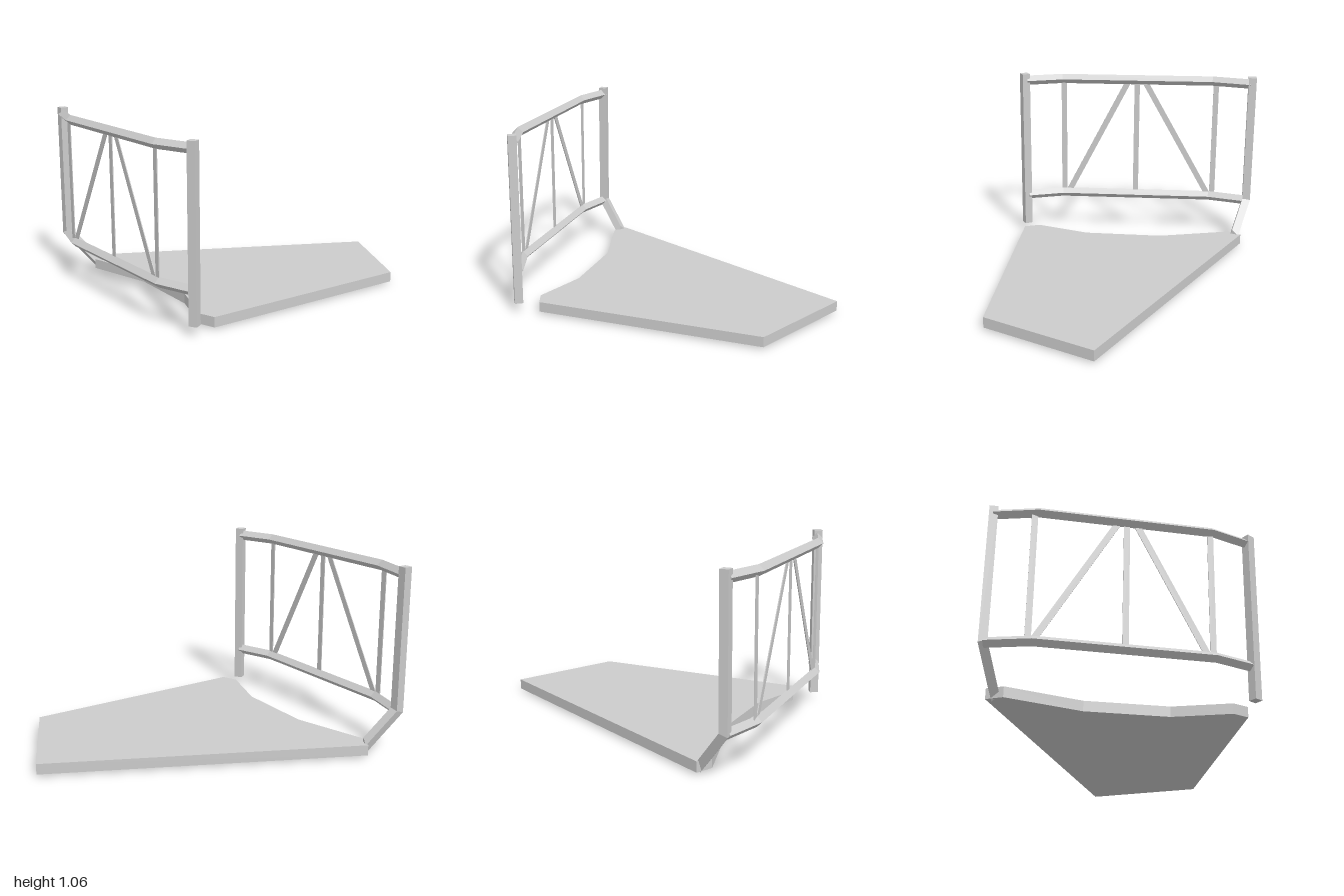
import * as THREE from 'three';

const material = new THREE.MeshStandardMaterial({ color: 0xcccccc, flatShading: true });

function part(name, geometry, parent) {
  const mesh = new THREE.Mesh(geometry, material);
  mesh.name = name;
  parent.add(mesh);
  return mesh;
}

// Joins rings of points (counter-clockwise about the travel direction) into a capped solid
function loft(rings) {
  const pos = [];
  const tri = (...pts) => pts.forEach((p) => pos.push(p.x, p.y, p.z));
  const n = rings[0].length;
  for (let i = 0; i < rings.length - 1; i++) {
    for (let j = 0; j < n; j++) {
      const k = (j + 1) % n;
      tri(rings[i][j], rings[i][k], rings[i + 1][k]);
      tri(rings[i][j], rings[i + 1][k], rings[i + 1][j]);
    }
  }
  const first = rings[0], last = rings[rings.length - 1];
  for (let j = 1; j < n - 1; j++) {
    tri(first[0], first[j + 1], first[j]);
    tri(last[0], last[j], last[j + 1]);
  }
  const g = new THREE.BufferGeometry();
  g.setAttribute('position', new THREE.Float32BufferAttribute(pos, 3));
  g.computeVertexNormals();
  return g;
}

// Plan of the bent railing, from the back post to the front post
const plan = [[-0.966, -0.633], [-0.92, -0.39], [-0.484, 0.465], [-0.318, 0.628]]
  .map(([x, z]) => new THREE.Vector3(x, 0, z));

// Diamond-section rail with mitred bends at height y
function rail(y, r = 0.03) {
  const up = new THREE.Vector3(0, 1, 0);
  const dirs = plan.slice(1).map((p, i) => p.clone().sub(plan[i]).normalize());
  return loft(plan.map((p, i) => {
    const a = dirs[Math.max(i - 1, 0)], b = dirs[Math.min(i, dirs.length - 1)];
    const t = a.clone().add(b).normalize();
    const side = up.clone().cross(t).multiplyScalar(r / t.dot(a));
    const c = p.clone().setY(y);
    return [
      c.clone().add(side), c.clone().addScaledVector(up, r),
      c.clone().sub(side), c.clone().addScaledVector(up, -r),
    ];
  }));
}

// Back post that bends at its foot to meet the corner of the slab
function bentPost() {
  const corners = [0, 1, 2, 3].map((i) => {
    const a = THREE.MathUtils.degToRad(19 + 90 * i);
    return [0.034 * Math.cos(a), 0.034 * Math.sin(a)];
  });
  const cx = -0.966, cz = -0.638, endX = -0.788, slope = 1.16;
  const ring = (f) => corners.map(([dx, dz]) => new THREE.Vector3(...f(dx, dz)));
  const bendY = (dx) => 0.255 + 0.36 * dx;
  return loft([
    ring((dx, dz) => [cx + dx, 1.06, cz + dz]),
    ring((dx, dz) => [cx + dx, bendY(dx), cz + dz]),
    ring((dx, dz) => [endX, bendY(dx) - slope * (endX - cx - dx), cz + dz]),
  ]);
}

// Flat strip with level ends, leaning from s0 at the bottom to s1 at the top
function strip(s0, s1, width) {
  const h = width / 2, y0 = 0.26, y1 = 1.01, t = 0.005;
  const shape = new THREE.Shape([[s0 - h, y0], [s0 + h, y0], [s1 + h, y1], [s1 - h, y1]]
    .map((p) => new THREE.Vector2(...p)));
  return new THREE.ExtrudeGeometry(shape, { depth: t, bevelEnabled: false }).translate(0, 0, -t / 2);
}

export function createModel() {
  const model = new THREE.Group();
  model.name = 'platformWithRailing';

  // Floor slab
  const outline = [[-0.8, -0.68], [1, -0.68], [1, 0], [-0.195, 0.577], [-0.267, 0.51],
    [-0.31, 0.176], [-0.51, -0.25], [-0.8, -0.58]];
  const slab = new THREE.ExtrudeGeometry(
    new THREE.Shape(outline.map(([x, z]) => new THREE.Vector2(x, -z))),
    { depth: 0.06, bevelEnabled: false });
  slab.rotateX(-Math.PI / 2).translate(0, 0.012, 0);
  part('floorSlab', slab, model);

  // Railing frame
  const railing = new THREE.Group();
  railing.name = 'railing';
  model.add(railing);
  part('topRail', rail(1.017), railing);
  part('bottomRail', rail(0.25), railing);
  part('backPost', bentPost(), railing);
  const post = part('frontPost', new THREE.BoxGeometry(0.049, 1.005, 0.049), railing);
  post.position.set(-0.312, 0.5575, 0.638);
  post.rotation.y = -0.56;

  // Struts in the plane of the long middle stretch, with local x running along the rail
  const [a, b] = [plan[1], plan[2]];
  const struts = new THREE.Group();
  struts.name = 'struts';
  struts.position.copy(a).lerp(b, 0.5);
  struts.rotation.y = -Math.atan2(b.z - a.z, b.x - a.x);
  railing.add(struts);
  const along = (z) => (z - struts.position.z) / Math.sin(-struts.rotation.y);
  [-0.41, 0.037, 0.455].forEach((z) => part('uprightStrut', strip(along(z), along(z), 0.034), struts));
  [[-0.384, -0.005], [0.428, 0.085]].forEach(([z0, z1]) =>
    part('diagonalStrut', strip(along(z0), along(z1), 0.041), struts));

  return model;
}
